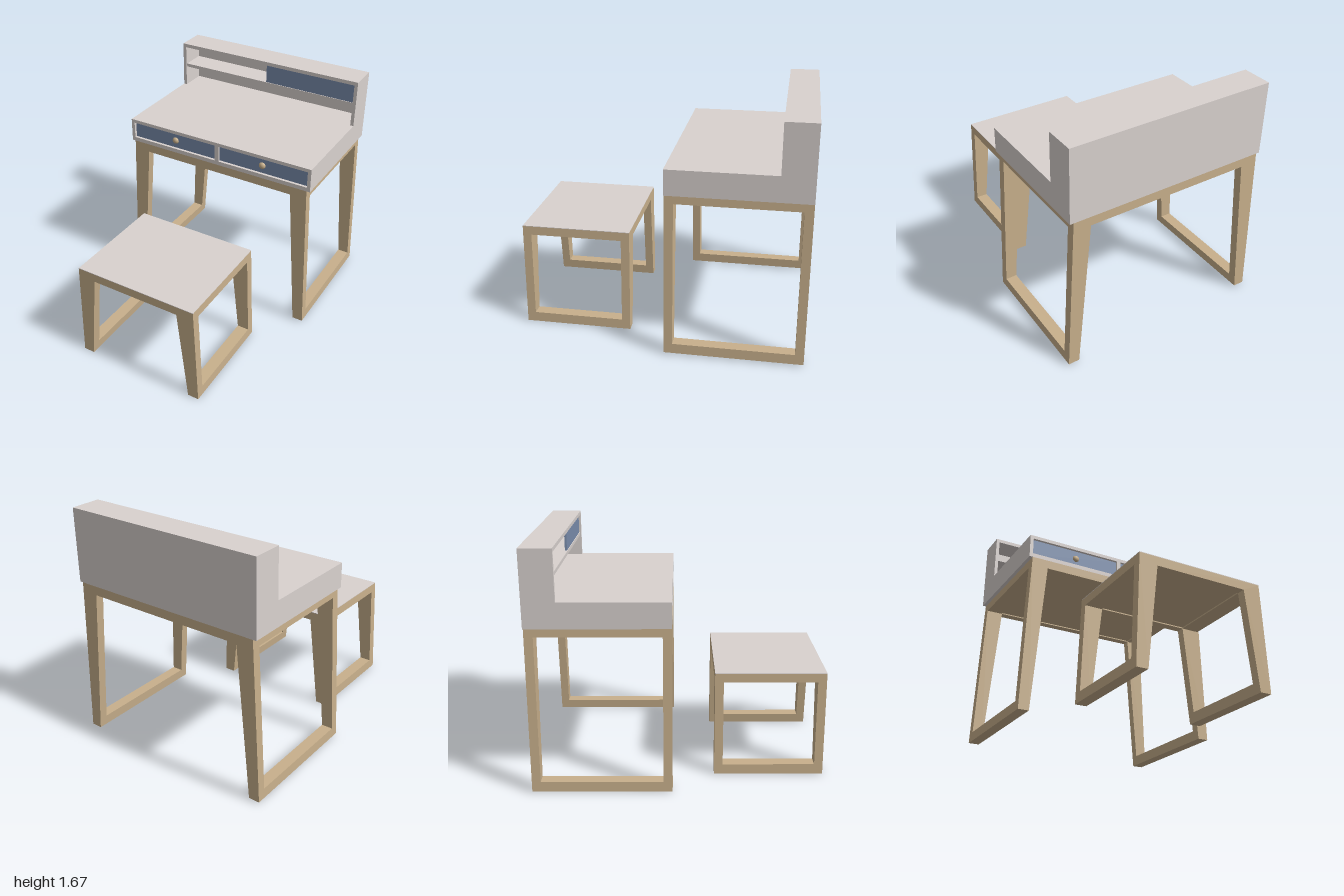
import * as THREE from 'three';

const paint = (color) => new THREE.MeshStandardMaterial({ color, roughness: 0.8 });

export function createModel() {
  const model = new THREE.Group();
  const wood = paint(0xc8b08c), white = paint(0xd9d2cf), blue = paint(0x7a8dad);

  // Box given by its min and max corners
  function box(parent, name, mat, [x0, y0, z0], [x1, y1, z1]) {
    const mesh = new THREE.Mesh(new THREE.BoxGeometry(x1 - x0, y1 - y0, z1 - z0), mat);
    mesh.position.set((x0 + x1) / 2, (y0 + y1) / 2, (z0 + z1) / 2);
    mesh.name = name;
    parent.add(mesh);
    return mesh;
  }

  // Outline in x/y extruded from z0 to z1
  function slab(parent, name, points, z0, z1) {
    const shape = new THREE.Shape(points.map(([x, y]) => new THREE.Vector2(x, y)));
    const geo = new THREE.ExtrudeGeometry(shape, { depth: z1 - z0, bevelEnabled: false });
    const mesh = new THREE.Mesh(geo, wood);
    mesh.position.z = z0;
    mesh.name = name;
    parent.add(mesh);
  }

  // Splayed wooden frame: two arches joined by side rails at floor and top
  function legFrame(name, f) {
    const group = new THREE.Group();
    group.name = name;
    const { y0, y1, apron, foot, outTop, outFoot, inTop, inFoot, z0, z1 } = f;
    const t = 0.06;
    const half = [[inTop, apron], [inFoot, y0], [outFoot, y0], [outTop, y1]];
    const arch = [...half, ...half.map(([x, y]) => [-x, y]).reverse()];
    slab(group, 'backArch', arch, z0, z0 + t);
    slab(group, 'frontArch', arch, z1 - t, z1);
    const outer = (y) => outFoot + (outTop - outFoot) * (y - y0) / (y1 - y0);
    const inner = (y) => inFoot + (inTop - inFoot) * (y - y0) / (apron - y0);
    for (const s of [-1, 1]) {
      const rail = (a, b) => [[s * inner(a), a], [s * outer(a), a], [s * outer(b), b], [s * inner(b), b]];
      slab(group, 'floorRail', rail(y0, foot), z0 + t, z1 - t);
      slab(group, 'topRail', rail(apron, y1), z0 + t, z1 - t);
    }
    // underside panel
    box(group, 'undersidePanel', wood, [-inTop, apron + 0.008, z0 + t], [inTop, y1, z1 - t]);
    model.add(group);
    return group;
  }

  // Stool with a thin seat plate
  const stool = legFrame('stool', {
    y0: 0, y1: 0.741, apron: 0.68, foot: 0.07,
    outTop: 0.45, outFoot: 0.48, inTop: 0.325, inFoot: 0.4, z0: 0.235, z1: 1,
  });
  box(stool, 'seat', white, [-0.45, 0.741, 0.235], [0.45, 0.745, 1]);

  // Desk legs
  legFrame('deskLegs', {
    y0: 0.01, y1: 1.15, apron: 1.087, foot: 0.08,
    outTop: 0.705, outFoot: 0.75, inTop: 0.585, inFoot: 0.672, z0: -1, z1: -0.055,
  });

  // Desk body: open-fronted case
  const W = 0.73, I = 0.705, back = -1, front = -0.055, hutchFront = -0.785;
  const body = new THREE.Group();
  body.name = 'deskBody';
  model.add(body);
  box(body, 'bottom', white, [-W, 1.15, back], [W, 1.18, front]);
  box(body, 'desktop', white, [-W, 1.3, back], [W, 1.325, front]);
  box(body, 'backPanel', white, [-I, 1.18, back], [I, 1.3, back + 0.025]);
  box(body, 'divider', white, [-0.015, 1.18, back + 0.025], [0.015, 1.3, front]);

  // Sides, drawers and knobs
  for (const s of [-1, 1]) {
    const [a, b] = s < 0 ? [-W, -I] : [I, W];
    box(body, 'side', white, [a, 1.18, back], [b, 1.3, front]);
    const [c, d] = s < 0 ? [-I, -0.015] : [0.015, I];
    box(body, 'drawer', blue, [c, 1.18, back + 0.025], [d, 1.3, front - 0.02]);
    const knob = new THREE.Mesh(new THREE.SphereGeometry(0.025, 20, 12), wood);
    knob.scale.z = 0.75;
    knob.position.set(s * 0.355, 1.238, front - 0.02);
    knob.name = 'knob';
    body.add(knob);
  }

  // Hutch with shelf and sliding door
  const hutch = new THREE.Group();
  hutch.name = 'hutch';
  model.add(hutch);
  for (const [a, b] of [[-W, -I], [I, W]]) {
    box(hutch, 'side', white, [a, 1.325, back], [b, 1.64, hutchFront]);
  }
  box(hutch, 'top', white, [-W, 1.64, back], [W, 1.667, hutchFront]);
  box(hutch, 'backPanel', white, [-I, 1.325, back], [I, 1.64, back + 0.025]);
  box(hutch, 'shelf', white, [-I, 1.475, back + 0.025], [I, 1.5, hutchFront - 0.01]);
  box(hutch, 'slidingDoor', blue, [0, 1.5, hutchFront - 0.03], [I, 1.64, hutchFront - 0.015]);

  return model;
}
